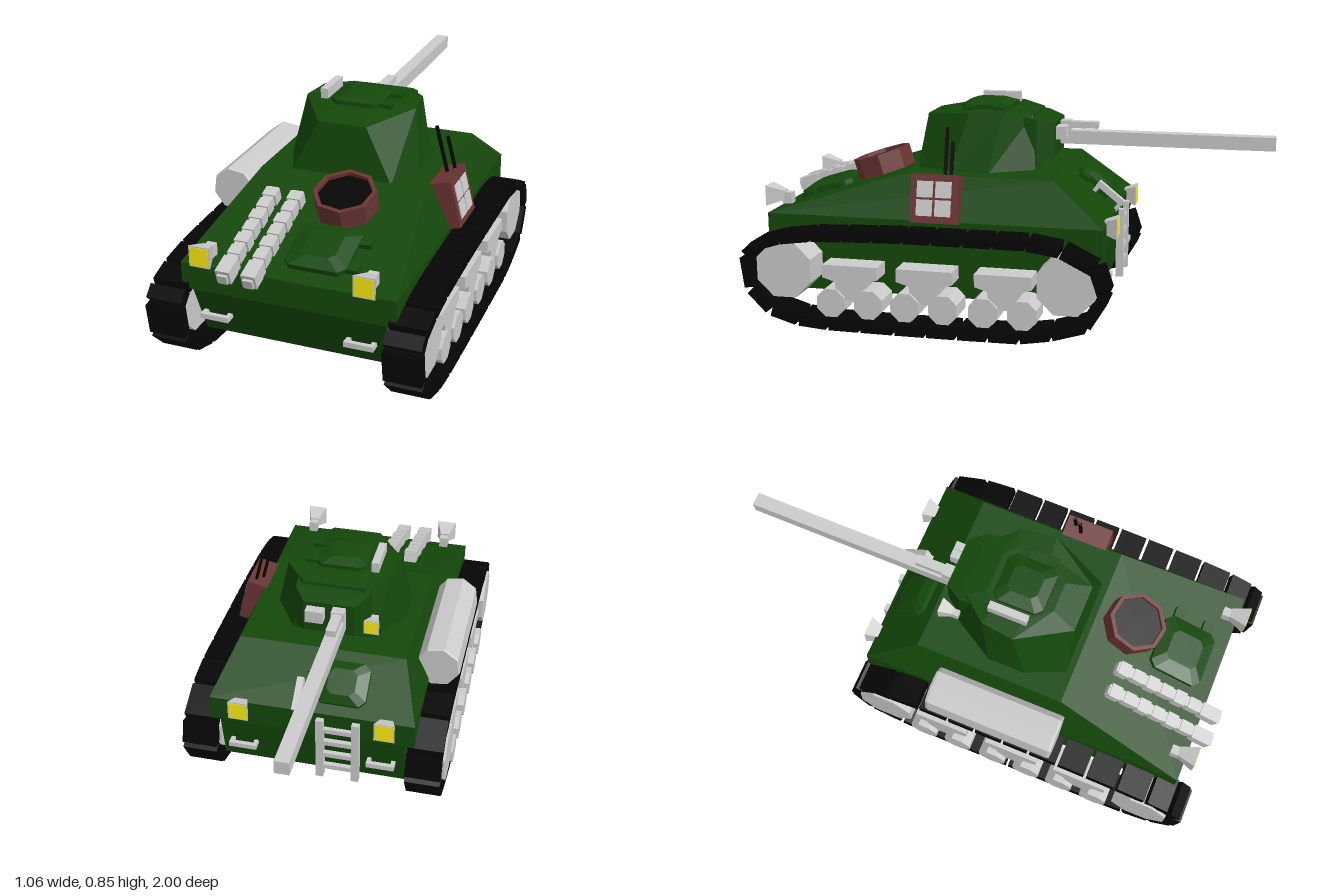
import * as THREE from 'three';

const mat = (color) => new THREE.MeshStandardMaterial({ color, flatShading: true });
const GREEN = mat(0x14480a), GREY = mat(0xcccccc), BLACK = mat(0x050505);
const BROWN = mat(0x6b3533), YELLOW = mat(0xffee10);

function add(parent, name, geo, material, x = 0, y = 0, z = 0) {
  const m = new THREE.Mesh(geo, material);
  m.name = name;
  m.position.set(x, y, z);
  parent.add(m);
  return m;
}
function addGroup(parent, name, x = 0, y = 0, z = 0, rx = 0, rz = 0) {
  const g = new THREE.Group();
  g.name = name;
  g.position.set(x, y, z);
  g.rotation.set(rx, 0, rz);
  parent.add(g);
  return g;
}
const box = (w, h, d) => new THREE.BoxGeometry(w, h, d);

// Skin a series of cross-sections with equal point counts, capped at both ends
function loft(rings) {
  const n = rings[0].length, idx = [], last = (rings.length - 1) * n;
  for (let r = 0; r < rings.length - 1; r++)
    for (let i = 0; i < n; i++) {
      const a = r * n + i, b = r * n + (i + 1) % n;
      idx.push(a, b, b + n, a, b + n, a + n);
    }
  for (let i = 1; i < n - 1; i++) idx.push(0, i + 1, i, last, last + i, last + i + 1);
  const g = new THREE.BufferGeometry();
  g.setAttribute('position', new THREE.Float32BufferAttribute(rings.flat(2), 3));
  g.setIndex(idx);
  const flat = g.toNonIndexed();
  flat.computeVertexNormals();
  return flat;
}
const rect = (y, w, z0, z1) => [[-w, y, z1], [w, y, z1], [w, y, z0], [-w, y, z0]];
const rectZ = (z, w, b, t) => [[w, b, z], [-w, b, z], [-w, t, z], [w, t, z]];
// Rectangle with cut corners, in the horizontal plane
const cutRect = (y, w, d, c) => [[-w + c, y, d], [w - c, y, d], [w, y, d - c], [w, y, c - d],
  [w - c, y, -d], [c - w, y, -d], [-w, y, c - d], [-w, y, d - c]];

// Hatch lid with two hinge tabs on its left
function hatch(parent, name, x, y, z, w, d) {
  const g = addGroup(parent, name, x, y, z);
  add(g, 'hatchLid', loft([cutRect(-0.02, w, d, 0.025), cutRect(0.016, w, d, 0.025),
    cutRect(0.033, w * 0.55, d * 0.6, 0.02)]), GREEN);
  for (const s of [-1, 1]) add(g, 'hatchHinge', box(0.06, 0.03, 0.045), GREEN, w + 0.012, 0, s * d * 0.58);
}

// Square flared lamp; dir is +1 or -1 along z
function lamp(parent, x, y, z, dir) {
  const g = addGroup(parent, 'headlight', x, y, z);
  if (dir < 0) g.rotation.y = Math.PI;
  add(g, 'lampHousing', new THREE.CylinderGeometry(0.057, 0.026, 0.07, 4).rotateY(Math.PI / 4).rotateX(Math.PI / 2), GREY);
  add(g, 'lampGlass', box(0.07, 0.07, 0.006), YELLOW, 0, 0, 0.034);
  add(g, 'lampBracket', box(0.036, 0.045, 0.04), GREY, 0, -0.01, -0.045);
}

function handle(parent, x, y, z, dir) {
  const g = addGroup(parent, 'grabHandle', x, y, z);
  add(g, 'handleBar', box(0.11, 0.02, 0.018), GREY, 0, 0, dir * 0.03);
  for (const s of [-1, 1]) add(g, 'handlePost', box(0.016, 0.018, 0.05), GREY, s * 0.047, 0, dir * 0.005);
}

function buildHull(root) {
  add(root, 'lowerHull', loft([rect(0.12, 0.365, -0.35, 0.83), rect(0.33, 0.365, -0.39, 0.915)]), GREEN);
  add(root, 'upperHull', loft([rect(0.326, 0.403, -0.395, 0.92), rect(0.428, 0.403, -0.395, 0.92),
    rect(0.59, 0.328, -0.195, 0.4)]), GREEN);
  for (const s of [-1, 1]) {
    lamp(root, s * 0.304 - 0.004, 0.48, 0.92, 1);
    lamp(root, s * 0.285 - 0.008, 0.412, -0.4, -1);
    handle(root, s * 0.275 - 0.016, 0.215, 0.87, 1);
    handle(root, s * 0.275, 0.215, -0.37, -1);
  }

  // Sloping deck: hatch, open bin and two ribbed pipes
  const deck = addGroup(root, 'slopedDeck', 0, 0.43, 0.92, 0.298);
  hatch(deck, 'deckHatch', 0.078, 0.003, -0.17, 0.115, 0.11);
  const bin = addGroup(deck, 'openBin', 0.076, 0, -0.4);
  const wall = [[0.102, 0.03], [0.102, 0.08], [0.118, 0.08], [0.118, -0.01]].reverse();
  add(bin, 'binWall', new THREE.LatheGeometry(wall.map((p) => new THREE.Vector2(...p)), 8, 0.2), BROWN);
  add(bin, 'binInside', new THREE.CylinderGeometry(0.103, 0.103, 0.04, 8).rotateY(0.2), BLACK, 0, 0.045, 0);
  for (const x of [-0.207, -0.11]) {
    const pipe = addGroup(deck, 'ribbedPipe', x, 0.024, 0);
    add(pipe, 'pipeCore', box(0.04, 0.04, 0.42), GREY, 0, 0, -0.19);
    for (let i = 0; i < 6; i++)
      add(pipe, 'pipeRib', box(i % 2 ? 0.052 : 0.046, 0.048, 0.045), GREY, 0, 0.001, -0.06 - i * 0.062);
    add(pipe, 'pipeEnd', box(0.054, 0.055, 0.08), GREY, 0, -0.004, 0.015);
    add(pipe, 'pipeTip', box(0.036, 0.036, 0.03), GREY, 0, -0.008, 0.05);
  }

  // Steep slope at the gun end
  const glacis = addGroup(root, 'gunEndSlope', 0, 0.43, -0.395, -0.675);
  hatch(glacis, 'slopeHatch', -0.105, 0.003, 0.125, 0.1, 0.085);
  add(glacis, 'slopeBar', box(0.026, 0.024, 0.13), GREY, 0.053, 0.035, 0.055);
  for (const z of [0, 0.11]) add(glacis, 'slopeBarPost', box(0.02, 0.045, 0.016), GREY, 0.053, 0.012, z);

  // Ladder
  const ladder = addGroup(root, 'ladder', -0.108, 0.268, -0.402);
  for (const s of [-1, 1]) add(ladder, 'ladderRail', box(0.03, 0.28, 0.03), GREY, s * 0.07, 0, 0);
  for (let i = 0; i < 4; i++) add(ladder, 'ladderRung', box(0.12, 0.02, 0.02), GREY, 0, -0.09 + i * 0.06, 0);

  // Side drum
  const drum = [[0, -0.26], [0.086, -0.26], [0.09, -0.25], [0.09, 0.25], [0.086, 0.26], [0, 0.26]];
  add(root, 'sideDrum', new THREE.LatheGeometry(drum.map((p) => new THREE.Vector2(...p)), 8, 0.25)
    .rotateX(Math.PI / 2), GREY, -0.435, 0.488, 0.172);

  // Radio crate with window panes and two aerials
  const crate = addGroup(root, 'radioCrate', 0.382, 0.511, 0.242, 0, 0.245);
  add(crate, 'crateBody', box(0.085, 0.185, 0.185), BROWN);
  for (const sy of [-1, 1]) for (const sz of [-1, 1])
    add(crate, 'cratePane', box(0.012, 0.062, 0.062), GREY, 0.041, sy * 0.035, sz * 0.036);
  add(crate, 'aerial', box(0.011, 0.2, 0.011), BLACK, -0.008, 0.174, -0.025);
  add(crate, 'aerial', box(0.011, 0.14, 0.011), BLACK, 0.014, 0.149, -0.055);
}

function buildTurret(root) {
  const t = addGroup(root, 'turret', -0.015);
  // Half outline, mirrored: rear, side and gun-end corners
  const ring = (half) => [...half, ...half.slice().reverse().map(([x, y, z]) => [-x, y, z])];
  add(t, 'turretShell', loft([
    ring([[0.2, 0.58, 0.375], [0.262, 0.58, 0.23], [0.262, 0.58, 0.08], [0.16, 0.58, -0.09]]),
    ring([[0.095, 0.79, 0.357], [0.222, 0.812, 0.16], [0.205, 0.812, 0.03], [0.12, 0.8, -0.07]]),
    ring([[0.06, 0.812, 0.26], [0.14, 0.814, 0.17], [0.13, 0.814, 0.05], [0.08, 0.812, 0]]),
  ]), GREEN);
  add(t, 'mantlet', loft([rectZ(0.02, 0.15, 0.6, 0.805), rectZ(-0.09, 0.145, 0.612, 0.785),
    rectZ(-0.155, 0.1, 0.635, 0.768)]), GREEN);
  hatch(t, 'turretHatch', -0.004, 0.812, 0.125, 0.1, 0.1);
  add(t, 'roofRail', box(0.03, 0.048, 0.155), GREY, -0.14, 0.829, 0.11);
  // Main gun, small gun above it and sight blocks
  add(t, 'gunBarrel', box(0.053, 0.053, 0.87), GREY, -0.042, 0.693, -0.565);
  add(t, 'smallGun', box(0.038, 0.026, 0.18), GREY, -0.042, 0.742, -0.215);
  add(t, 'gunCollar', box(0.05, 0.09, 0.05), GREY, -0.042, 0.714, -0.17);
  for (const x of [0.032, 0.068]) add(t, 'sightBlock', box(0.034, 0.05, 0.05), GREY, x, 0.725, -0.17);
  const l = addGroup(t, 'turretLamp', -0.167, 0.685, -0.13);
  l.scale.setScalar(0.75);
  lamp(l, 0, 0, 0, -1);
}

// Joints of the track loop as [z, y]
const TRACK = [[0.835, 0.355], [0.71, 0.372], [0.585, 0.378], [0.465, 0.382], [0.345, 0.385], [0.235, 0.385],
  [0.115, 0.385], [0, 0.385], [-0.125, 0.385], [-0.255, 0.365], [-0.385, 0.3], [-0.418, 0.2], [-0.35, 0.085],
  [-0.22, 0.045], [-0.1, 0.025], [0.02, 0.024], [0.14, 0.023], [0.26, 0.023], [0.385, 0.023], [0.52, 0.024],
  [0.65, 0.025], [0.77, 0.035], [0.88, 0.068], [0.96, 0.15], [0.977, 0.28], [0.93, 0.325]];

function buildRunningGear(root, side) {
  const g = addGroup(root, side > 0 ? 'leftTrack' : 'rightTrack', side * 0.445);
  TRACK.forEach(([z0, y0], i) => {
    const [z1, y1] = TRACK[(i + 1) % TRACK.length];
    const length = Math.hypot(z1 - z0, y1 - y0) - 0.012;
    const link = add(g, 'trackLink', box(0.138, 0.042, length), BLACK, 0, (y0 + y1) / 2, (z0 + z1) / 2);
    link.rotation.x = -Math.atan2(y1 - y0, z1 - z0);
  });
  // Wheels on both sides sit slightly towards the right
  const wheel = (name, r, z, y, x) =>
    add(g, name, new THREE.CylinderGeometry(r, r, 0.13, 8).rotateY(Math.PI / 8).rotateZ(Math.PI / 2), GREY, x, y, z);
  for (const z of [0.825, -0.275]) wheel('endWheel', 0.118, z, 0.23, -0.013);
  // Bogies, each carrying a pair of road wheels
  const shape = new THREE.Shape([[-0.11, 0.255], [-0.11, 0.205], [-0.06, 0.19], [-0.05, 0.12], [0.05, 0.12],
    [0.06, 0.19], [0.11, 0.205], [0.11, 0.255]].map((p) => new THREE.Vector2(...p)));
  const bogie = new THREE.ExtrudeGeometry(shape, { depth: 0.1, bevelEnabled: false }).translate(0, 0, -0.05).rotateY(Math.PI / 2);
  for (const z of [0.565, 0.27, -0.035]) {
    add(g, 'bogie', bogie, GREY, -0.013, 0, z);
    for (const s of [-1, 1]) wheel('roadWheel', 0.06, z + s * 0.075, 0.107, -0.017);
  }
}

export function createModel() {
  const model = new THREE.Group();
  model.name = 'tank';
  // The whole vehicle sits turned very slightly
  const root = addGroup(model, 'vehicle', -0.004);
  root.rotation.y = 0.0145;
  buildHull(root);
  buildTurret(root);
  for (const side of [1, -1]) buildRunningGear(root, side);
  return model;
}
